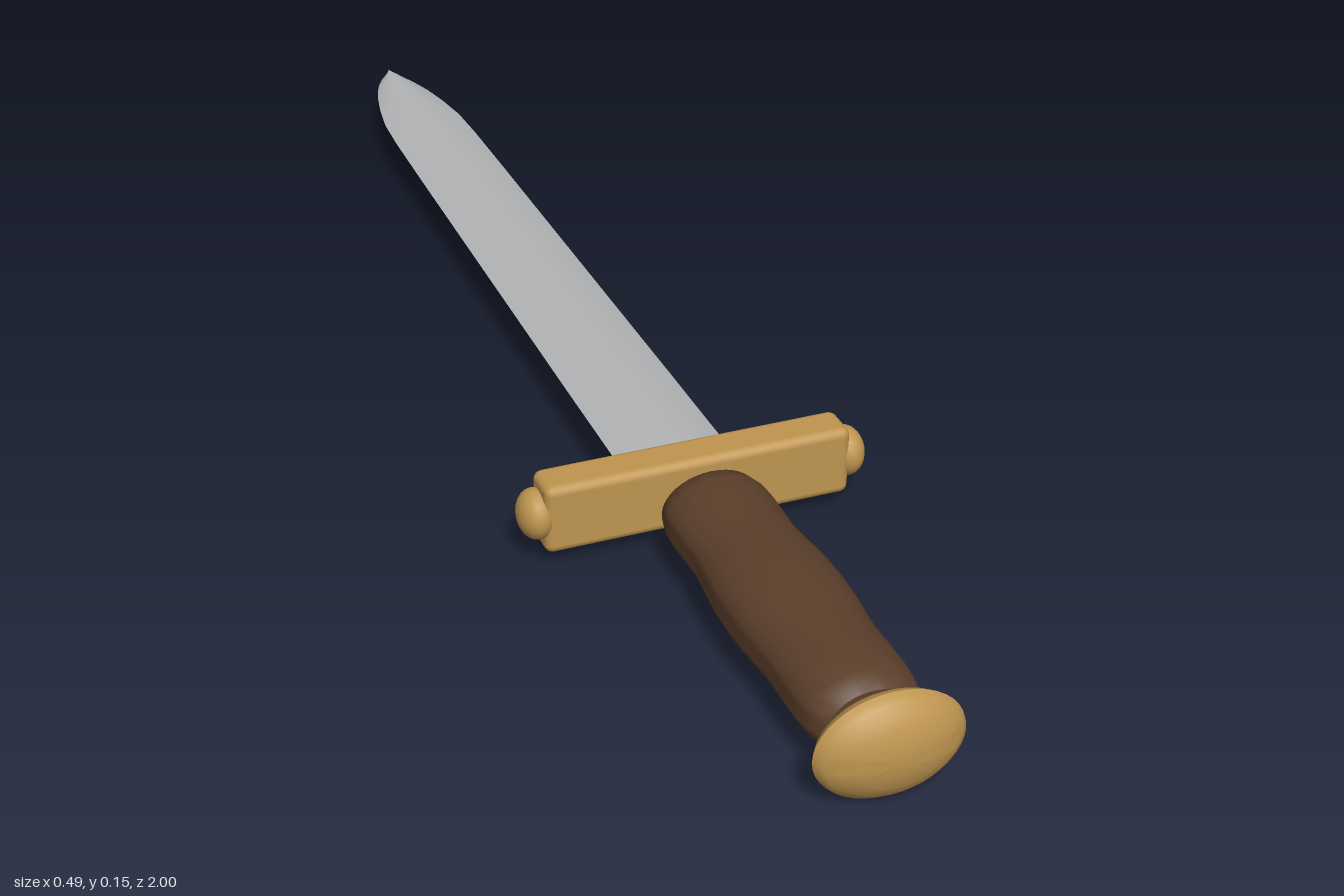
import * as THREE from 'three';
import { toCreasedNormals } from 'three/addons/utils/BufferGeometryUtils.js';
import { RoundedBoxGeometry } from 'three/addons/geometries/RoundedBoxGeometry.js';

const MID_Y = 0.073; // height of the dagger's long axis
const GUARD_Z = 0.372;

function material(name, color) {
  const m = new THREE.MeshStandardMaterial({ color });
  m.name = name;
  return m;
}

// Lathe along z from [radius, z] points, flattened in y
function turned(points, squash, crease) {
  const g = new THREE.LatheGeometry(points.map(([r, z]) => new THREE.Vector2(r, z)), 40);
  g.rotateX(Math.PI / 2);
  g.scale(1, squash, 1);
  return toCreasedNormals(g, crease);
}

// One convex face of the blade; stations are [z, halfWidth, halfThickness] from the tip
function bladeFace(stations) {
  const cols = 16;
  const g = new THREE.PlaneGeometry(1, 1, cols, stations.length - 1);
  const pos = g.attributes.position;
  stations.forEach(([z, w, h], row) => {
    for (let i = 0; i <= cols; i++) {
      const u = (i / cols) * 2 - 1;
      pos.setXYZ(row * (cols + 1) + i, u * w, h * (1 - u * u), z);
    }
  });
  g.computeVertexNormals();
  return g;
}

export function createModel() {
  const model = new THREE.Group();
  model.name = 'dagger';
  const steel = material('steel', 0xb2b4b6);
  const brass = material('brass', 0xbf9550);
  const leather = material('brown leather', 0x5c3f2b);

  function add(name, geometry, mat, parent = model) {
    const mesh = new THREE.Mesh(geometry, mat);
    mesh.name = name;
    parent.add(mesh);
    return mesh;
  }

  // Blade: a lens section tapering to a narrow upright tip
  const stations = [
    [-1.0, 0.001, 0.011], [-0.985, 0.018, 0.011], [-0.96, 0.031, 0.011],
    [-0.92, 0.044, 0.012], [-0.87, 0.055, 0.012], [-0.81, 0.064, 0.013],
    [-0.74, 0.067, 0.013], [-0.6, 0.069, 0.014], [-0.2, 0.073, 0.014],
    [0.1, 0.076, 0.015], [GUARD_Z, 0.078, 0.016],
  ];
  const blade = new THREE.Group();
  blade.name = 'blade';
  blade.position.y = MID_Y;
  model.add(blade);
  add('bladeTop', bladeFace(stations), steel, blade);
  add('bladeUnderside', bladeFace(stations).rotateZ(Math.PI), steel, blade);

  // Crossguard bar with a rounded knob on each end
  const guard = new THREE.Group();
  guard.name = 'crossguard';
  guard.position.set(0, MID_Y, GUARD_Z);
  model.add(guard);
  add('guardBar', new RoundedBoxGeometry(0.43, 0.1, 0.06, 2, 0.012), brass, guard);
  for (const side of [-1, 1]) {
    const knob = new THREE.SphereGeometry(1, 24, 12);
    knob.rotateZ(Math.PI / 2);
    knob.scale(0.025, 0.035, 0.034);
    const mesh = add(side > 0 ? 'leftKnob' : 'rightKnob', knob, brass, guard);
    mesh.position.x = side * 0.22;
  }

  // Grip: oval, with shallow swells for the fingers
  const grip = turned([
    [0, 0.424], [0.058, 0.424], [0.068, 0.432], [0.074, 0.455], [0.075, 0.48],
    [0.074, 0.52], [0.073, 0.55], [0.077, 0.59], [0.081, 0.63], [0.082, 0.67],
    [0.081, 0.71], [0.078, 0.745], [0.075, 0.78], [0.076, 0.82], [0.076, 0.86],
    [0.073, 0.89], [0.066, 0.908], [0.056, 0.916], [0, 0.916],
  ], 0.75, 0.7);
  add('grip', grip, leather).position.y = MID_Y;

  // Pommel: flattened cap with a bevelled rim and a domed end
  const pommel = turned([
    [0, 0.914], [0.044, 0.914], [0.058, 0.926], [0.076, 0.939], [0.09, 0.951],
    [0.097, 0.962], [0.095, 0.968], [0.088, 0.974], [0.075, 0.984],
    [0.055, 0.992], [0.03, 0.998], [0, 1.0],
  ], 0.75, 0.6);
  add('pommel', pommel, brass).position.y = MID_Y;

  return model;
}
